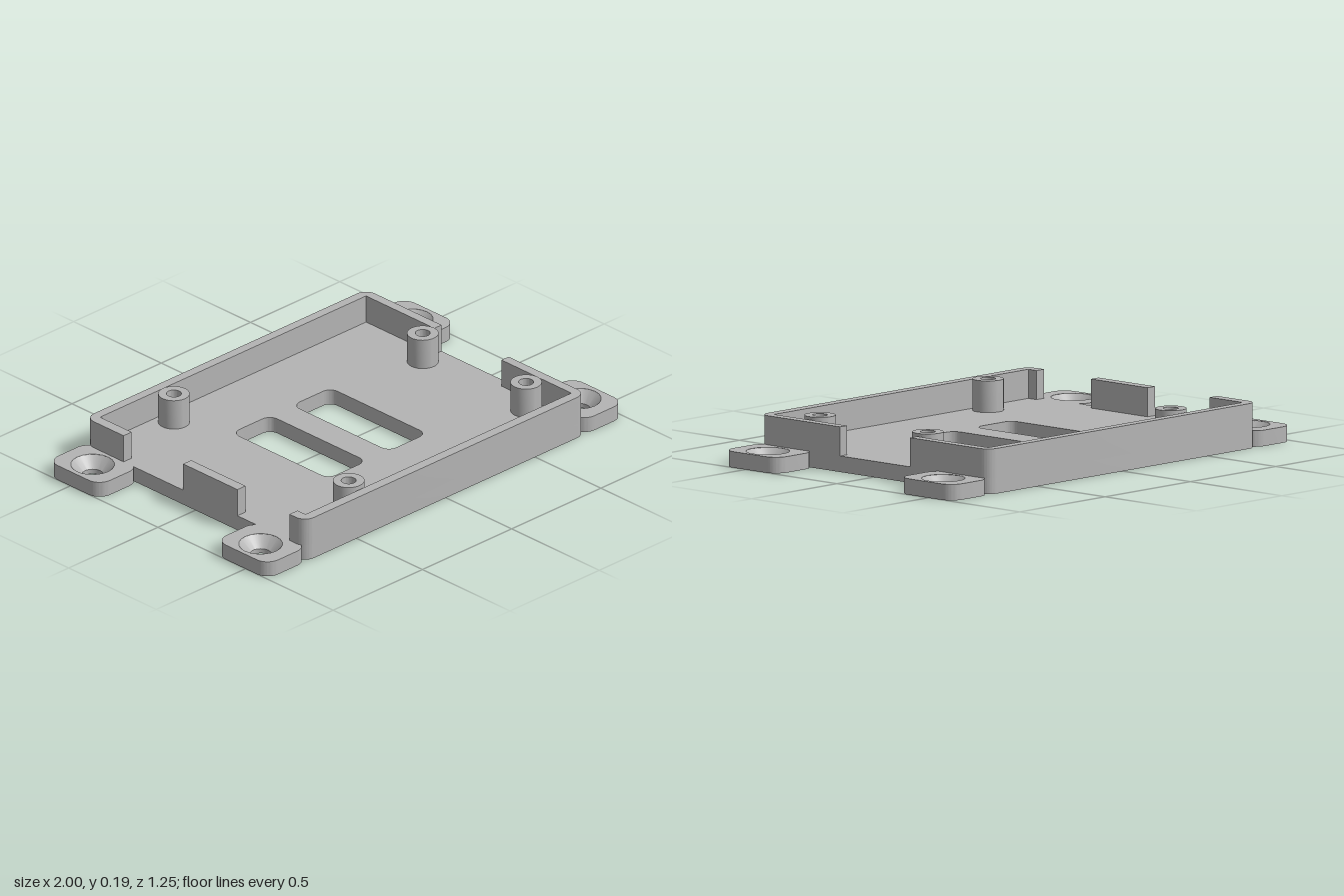
import * as THREE from 'three';
import { toCreasedNormals } from 'three/addons/utils/BufferGeometryUtils.js';

const FLOOR = 0.065, WALL = 0.183, POST = 0.193;
const X0 = -0.79, X1 = 0.785, Z0 = -0.63, Z1 = 0.625;

// Rounded rectangle in plan; shape y is -z
function roundedRect(x0, x1, z0, z1, r, Type = THREE.Shape) {
  const s = new Type(), a = -z1, b = -z0;
  s.absarc(x1 - r, a + r, r, -Math.PI / 2, 0);
  s.absarc(x1 - r, b - r, r, 0, Math.PI / 2);
  s.absarc(x0 + r, b - r, r, Math.PI / 2, Math.PI);
  s.absarc(x0 + r, a + r, r, Math.PI, Math.PI * 1.5);
  s.closePath();
  return s;
}

// Extrude a plan shape upwards from y0 to y1
function slab(shape, y0, y1) {
  const g = new THREE.ExtrudeGeometry(shape, { depth: y1 - y0, bevelEnabled: false, curveSegments: 10 });
  g.rotateX(-Math.PI / 2).translate(0, y0, 0);
  return toCreasedNormals(g, 0.6);
}

function lathe(points) {
  const g = new THREE.LatheGeometry(points.map(([r, y]) => new THREE.Vector2(r, y)), 40);
  return toCreasedNormals(g, 0.6);
}

// U-shaped wall along one long side; ends are the z limits of its two returns
function wallShape(zOuter, zInner, zLeft, zRight) {
  const s = new THREE.Shape(), r = 0.05, d = Math.sign(zInner - zOuter);
  const xi0 = -0.745, xi1 = 0.745;
  s.moveTo(X0, -zLeft);
  s.lineTo(X0, -(zOuter + d * r));
  const cy = -(zOuter + d * r), cw = d > 0;
  s.absarc(X0 + r, cy, r, Math.PI, d * Math.PI / 2, cw);
  s.absarc(X1 - r, cy, r, d * Math.PI / 2, 0, cw);
  s.lineTo(X1, -zRight);
  s.lineTo(xi1, -zRight);
  s.lineTo(xi1, -zInner);
  s.lineTo(xi0, -zInner);
  s.lineTo(xi0, -zLeft);
  s.closePath();
  return s;
}

export function createModel() {
  const model = new THREE.Group();
  const grey = new THREE.MeshStandardMaterial({ color: 0xb4b4b4 });
  grey.name = 'grey plastic';
  const add = (name, geometry, parent = model) => {
    const m = new THREE.Mesh(geometry, grey);
    m.name = name;
    parent.add(m);
    return m;
  };

  // Floor plate with two rounded slots
  const floor = roundedRect(X0, X1, Z0, Z1, 0.05);
  for (const [a, b] of [[-0.305, -0.092], [0.033, 0.246]])
    floor.holes.push(roundedRect(a, b, -0.285, 0.265, 0.042, THREE.Path));
  add('floor', slab(floor, 0, FLOOR));

  // Perimeter walls, open on both short sides
  add('backWall', slab(wallShape(Z0, -0.59, -0.41, -0.2), FLOOR, WALL));
  add('frontWall', slab(wallShape(Z1, 0.582, 0.537, 0.183), FLOOR, WALL));
  const mid = new THREE.BoxGeometry(0.045, WALL - FLOOR, 0.31);
  add('rightMiddleWall', mid).position.set(-0.7675, (WALL + FLOOR) / 2, 0.085);

  // Hollow screw posts
  const post = lathe([[0.063, FLOOR], [0.063, POST], [0.03, POST], [0.03, FLOOR], [0, FLOOR + 0.001]]);
  for (const [x, z] of [[-0.405, -0.515], [0.67, -0.19], [0.67, 0.4], [-0.43, 0.508]])
    add('screwPost', post).position.set(x, 0, z);

  // Mounting ears with countersunk holes
  const earShape = roundedRect(-0.107, 0.12, -0.148, 0.148, 0.06);
  const rim = new THREE.Path();
  rim.absarc(0, 0, 0.088, 0, Math.PI * 2);
  earShape.holes.push(rim);
  const earGeometry = slab(earShape, 0, FLOOR);
  const sink = lathe([[0.088, FLOOR], [0.043, 0.02], [0.043, 0], [0.089, 0]]);
  for (const side of [-1, 1])
    for (const z of [-0.482, 0.477]) {
      const ear = new THREE.Group();
      ear.name = 'mountingEar';
      add('earPlate', earGeometry, ear);
      add('countersink', sink, ear);
      ear.position.set(side * 0.893, 0, z);
      if (side > 0) ear.rotation.y = Math.PI;
      model.add(ear);
    }

  return model;
}
